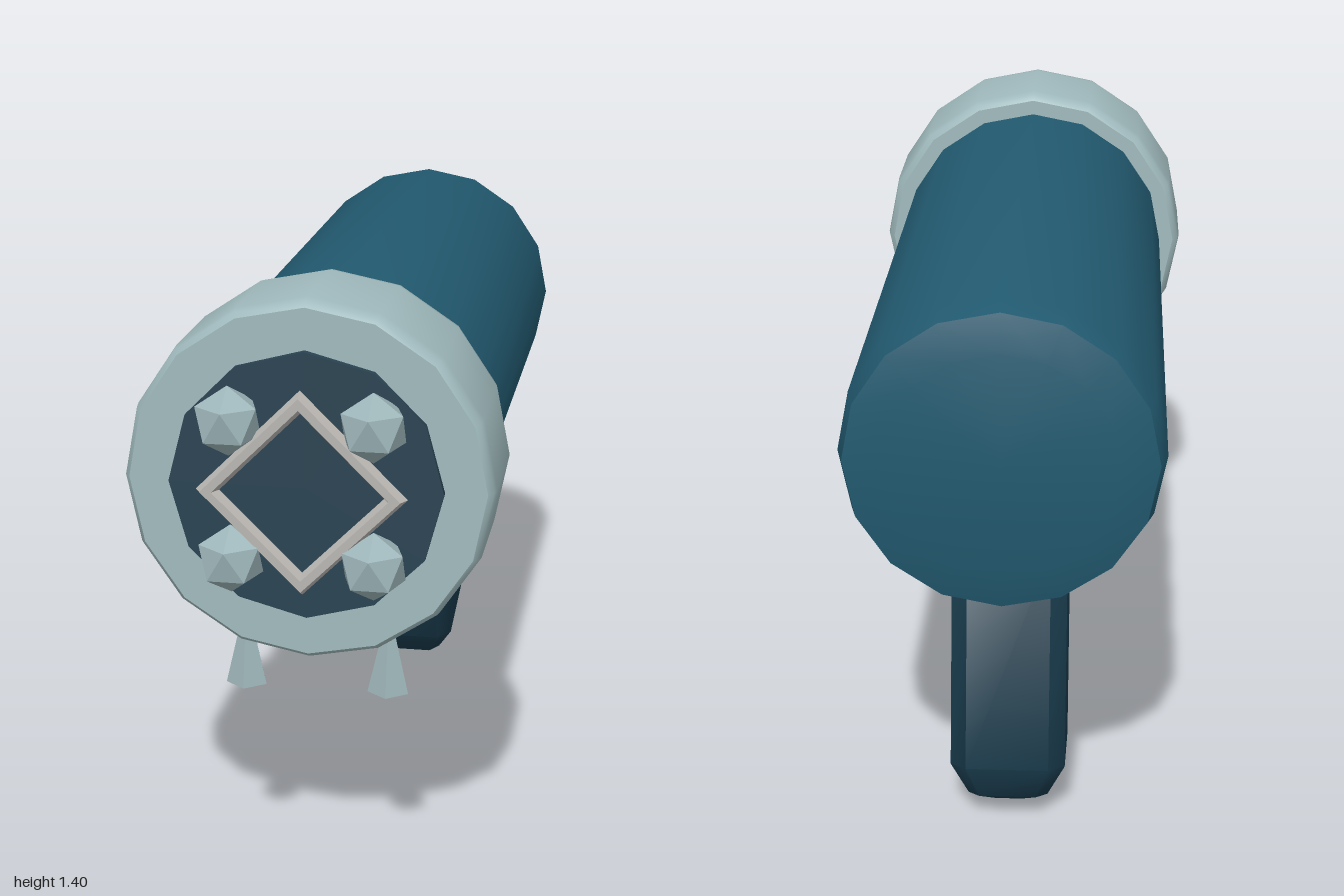
import * as THREE from 'three';
import { toCreasedNormals } from 'three/addons/utils/BufferGeometryUtils.js';

const paint = (color, flatShading = false) => new THREE.MeshStandardMaterial({ color, flatShading });

// Turned part along z; profile is [radius, z] from back to front
function turned(profile, sides, crease = 0.7) {
  const points = profile.map(([r, z]) => new THREE.Vector2(r, z));
  const geometry = new THREE.LatheGeometry(points, sides).rotateX(Math.PI / 2);
  return toCreasedNormals(geometry, crease);
}

// Upright block with chamfered sides and rounded ends; s scales the end bevels
function bevelBlock(hx, hz, length, cx, cz, s) {
  const h = length / 2;
  const ends = [[h, 0.09 * s], [h - 0.022 * s, 0.04 * s], [h - 0.1 * s, 0]];
  const levels = [...ends.map(([y, inset]) => [-y, inset]), ...ends.reverse()];
  const positions = [];
  const index = [];
  for (const [y, inset] of levels) {
    const x = hx - inset, z = hz - inset;
    const kx = cx * x / hx, kz = cz * z / hz;
    const section = [[x, z - kz], [x - kx, z], [kx - x, z], [-x, z - kz],
      [-x, kz - z], [kx - x, -z], [x - kx, -z], [x, kz - z]];
    for (const [px, pz] of section) positions.push(px, y, pz);
  }
  const n = 8, last = (levels.length - 1) * n;
  for (let l = 0; l < levels.length - 1; l++) {
    for (let i = 0; i < n; i++) {
      const a = l * n + i, b = l * n + (i + 1) % n;
      index.push(a, a + n, b, b, a + n, b + n);
    }
  }
  for (let i = 1; i < n - 1; i++) {
    index.push(0, i, i + 1, last, last + i + 1, last + i);
  }
  const geometry = new THREE.BufferGeometry();
  geometry.setAttribute('position', new THREE.Float32BufferAttribute(positions, 3));
  geometry.setIndex(index);
  // section runs clockwise seen from above, so flip every triangle outward
  for (let i = 0; i < index.length; i += 3) {
    geometry.index.setX(i + 1, index[i + 2]);
    geometry.index.setX(i + 2, index[i + 1]);
  }
  return toCreasedNormals(orientOutward(geometry), 0.75);
}

// Convex solid around the origin: turn any inward triangle around
function orientOutward(geometry) {
  const p = geometry.attributes.position, idx = geometry.index;
  const [a, b, c] = [new THREE.Vector3(), new THREE.Vector3(), new THREE.Vector3()];
  for (let i = 0; i < idx.count; i += 3) {
    const j = idx.getX(i + 1), k = idx.getX(i + 2);
    a.fromBufferAttribute(p, idx.getX(i));
    b.fromBufferAttribute(p, j);
    c.fromBufferAttribute(p, k);
    if (b.clone().sub(a).cross(c.clone().sub(a)).dot(a) < 0) {
      idx.setX(i + 1, k);
      idx.setX(i + 2, j);
    }
  }
  return geometry;
}

export function createModel() {
  const model = new THREE.Group();
  model.name = 'handheldBlaster';
  const add = (name, geometry, material, x, y, z) => {
    const mesh = new THREE.Mesh(geometry, material);
    mesh.name = name;
    mesh.position.set(x, y, z);
    model.add(mesh);
    return mesh;
  };

  const blue = paint(0x225a70);
  const darkBlue = paint(0x18394a);
  const pale = paint(0xa0babd);
  const paleFlat = paint(0x9cb4b8, true);

  // Barrel with a softly rounded rear end
  add('barrel', turned([[0, -1], [0.25, -1], [0.33, -0.977], [0.345, -0.92],
    [0.345, 0.6], [0, 0.6]], 16), blue, 0, 1, 0);

  // Wide muzzle ring and the dark plate on its face
  add('muzzleRing', turned([[0, 0.555], [0.382, 0.555], [0.395, 0.568], [0.4, 0.595],
    [0.4, 0.835], [0.396, 0.862], [0.385, 0.875], [0, 0.875]], 16), pale, 0, 1, 0);
  add('muzzlePlate', turned([[0, 0.86], [0.295, 0.86], [0.295, 0.89], [0, 0.89]], 12),
    paint(0x2a4352), 0, 1, 0);

  // Diamond frame with a stud in front of each side
  add('diamondFrame', new THREE.TorusGeometry(0.2, 0.025, 6, 4), paint(0xb9b6b2, true), 0, 1, 0.93);
  const stud = new THREE.IcosahedronGeometry(0.076, 0).rotateX(-Math.atan((1 + Math.sqrt(5)) / 2));
  const spike = new THREE.ConeGeometry(0.048, 0.2, 5);
  for (const side of [-1, 1]) {
    for (const level of [-1, 1]) {
      add('stud', stud, paleFlat, side * 0.153, 1 + level * 0.152, 0.93);
    }
    // Spikes under the ring
    add('spike', spike, paleFlat, side * 0.16, 0.593, 0.77);
  }

  // Raked grip and trigger
  add('grip', bevelBlock(0.132, 0.162, 0.717, 0.037, 0.035, 1), darkBlue, 0, 0.366, -0.582)
    .rotation.x = 0.235;
  add('trigger', bevelBlock(0.046, 0.039, 0.25, 0.018, 0.014, 0.32), paint(0x3fa6c6), 0, 0.56, -0.254)
    .rotation.x = -0.32;

  return model;
}
